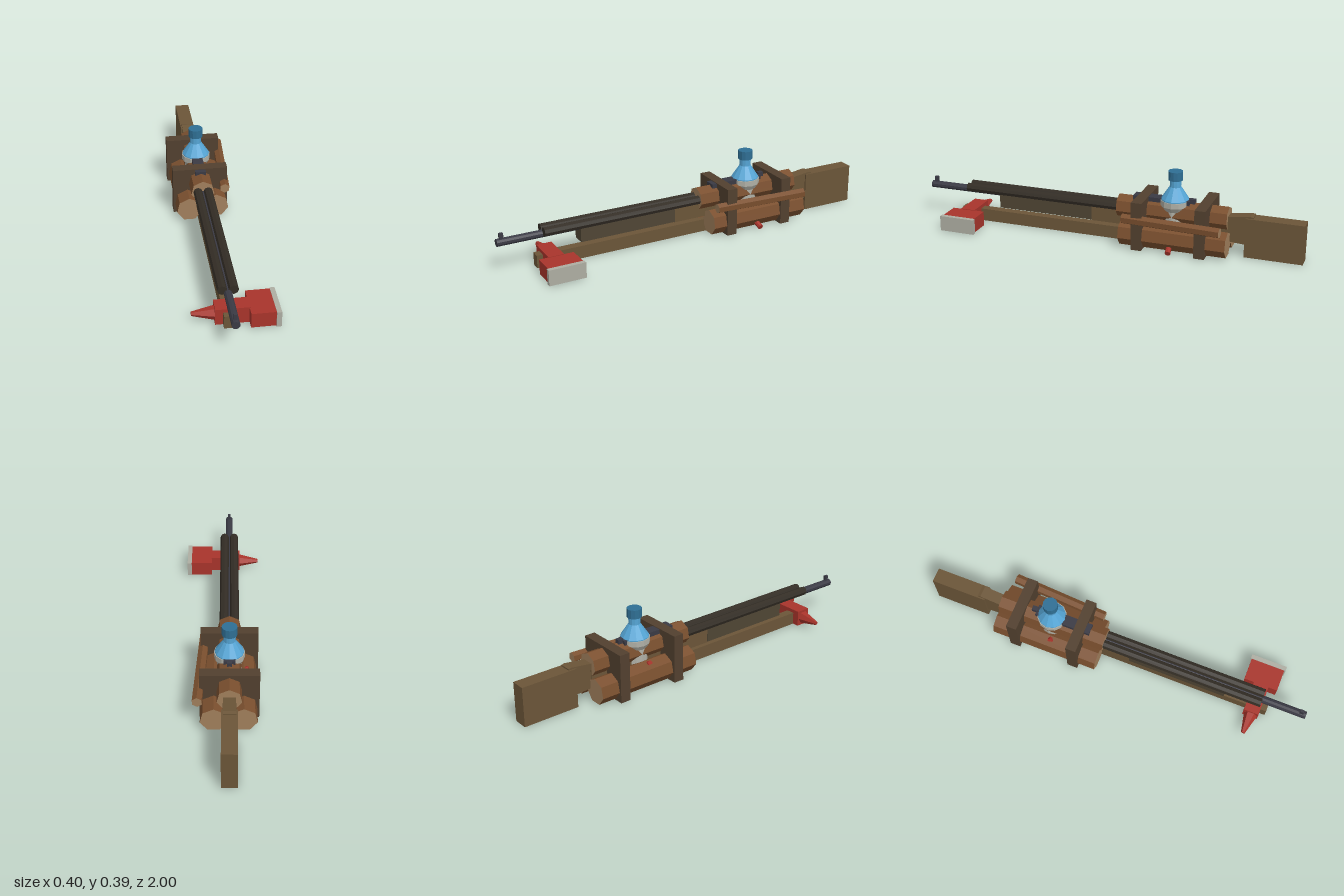
import * as THREE from 'three';

const mat = (color, side = THREE.FrontSide) =>
  new THREE.MeshStandardMaterial({ color, flatShading: true, side });

const M = {
  stock: mat(0x6b5538), fore: mat(0x4f4534), plate: mat(0x52402f),
  bark: mat(0x7a4f2e), cut: mat(0xa17f5c), steel: mat(0x3a3a44),
  tube: mat(0x332d25), red: mat(0xa8342b), grey: mat(0xadada2),
  blue: mat(0x55a5d5), cap: mat(0x2f6f94),
  cup: mat(0xb0b0a6, THREE.DoubleSide),
};
const AX = -0.037; // shared centre line of barrel, stock and bottle

export function createModel() {
  const root = new THREE.Group();
  root.name = 'improvisedRifle';

  const add = (name, geo, material) => {
    const mesh = new THREE.Mesh(geo, material);
    mesh.name = name;
    root.add(mesh);
    return mesh;
  };
  // box from its limits on each axis
  const box = (name, material, x0, x1, y0, y1, z0, z1) => {
    const m = add(name, new THREE.BoxGeometry(x1 - x0, y1 - y0, z1 - z0), material);
    m.position.set((x0 + x1) / 2, (y0 + y1) / 2, (z0 + z1) / 2);
    return m;
  };
  // straight rod between two points
  const rod = (name, material, a, b, r0, r1, sides) => {
    const p = new THREE.Vector3(...a), q = new THREE.Vector3(...b);
    const m = add(name, new THREE.CylinderGeometry(r1, r0, p.distanceTo(q), sides), material);
    m.position.copy(p).add(q).multiplyScalar(0.5);
    m.quaternion.setFromUnitVectors(new THREE.Vector3(0, 1, 0), q.sub(p).normalize());
    return m;
  };

  // Barrel, front sight and the two tubes beside it
  rod('barrel', M.steel, [AX, 0.163, 1], [AX, 0.163, -0.2], 0.019, 0.019, 10);
  box('frontSight', M.steel, AX - 0.007, AX + 0.007, 0.175, 0.208, 0.965, 0.985);
  for (const s of [-1, 1])
    rod('sideTube', M.tube, [AX + s * 0.026, 0.18, 0.775], [AX + s * 0.026, 0.18, -0.2], 0.023, 0.023, 8);

  // Stock: fore end, middle, neck and butt
  box('foreStock', M.fore, -0.071, -0.004, 0.09, 0.162, 0.08, 0.59);
  box('middleStock', M.stock, -0.07, -0.005, 0.087, 0.163, -0.63, 0.08);
  const neck = new THREE.Shape([
    [-0.55, 0.075], [-0.75, 0.06], [-0.75, 0.207], [-0.735, 0.21], [-0.55, 0.185],
  ].map(([z, y]) => new THREE.Vector2(-z, y)));
  const neckGeo = new THREE.ExtrudeGeometry(neck, { depth: 0.059, bevelEnabled: false });
  neckGeo.rotateY(Math.PI / 2);
  add('stockNeck', neckGeo, M.stock).position.x = -0.067;
  box('butt', M.stock, -0.074, 0, 0, 0.2, -1, -0.712);

  // Receiver rail and rear sight
  box('receiver', M.steel, -0.065, -0.01, 0.15, 0.247, -0.43, -0.14);
  box('rearSight', M.steel, AX - 0.012, AX + 0.012, 0.2, 0.255, -0.455, -0.425);

  // Split logs around the receiver
  const logMats = [M.bark, M.cut, M.cut];
  for (const [x, y, r, z0, z1] of [
    [AX, 0.178, 0.06, -0.06, -0.625],
    [-0.105, 0.068, 0.065, -0.075, -0.635],
    [0.036, 0.068, 0.065, -0.095, -0.638],
  ]) rod('log', logMats, [x, y, z0], [x, y, z1], r, r, 7);
  rod('sidePole', logMats, [0.084, 0.155, -0.115], [0.112, 0.155, -0.615], 0.026, 0.026, 6);

  // Clamping plates
  for (const z of [-0.193, -0.513])
    box('clampPlate', M.plate, -0.178, 0.103, 0.002, 0.25, z - 0.027, z + 0.027);

  // Bottle: glass cup, cone with neck, cap and visible base
  const lathe = (name, material, pts) => add(name,
    new THREE.LatheGeometry(pts.map(([r, y]) => new THREE.Vector2(r, y)), 12), material)
    .position.set(AX, 0, -0.35);
  lathe('bottleCup', M.cup, [[0.07, 0.003], [0.062, 0.02], [0.058, 0.19], [0.074, 0.215], [0.074, 0.243], [0.068, 0.243]]);
  lathe('bottleCone', M.blue, [[0, 0.235], [0.07, 0.235], [0.07, 0.248], [0.029, 0.31], [0.029, 0.346]]);
  lathe('bottleCap', M.cap, [[0, 0.345], [0.037, 0.345], [0.037, 0.39], [0, 0.39]]);
  lathe('bottleBase', M.cap, [[0, 0.002], [0.064, 0.002], [0.064, 0.012], [0, 0.012]]);

  // Red peg through the logs and a metal strip beneath
  rod('peg', M.red, [-0.13, 0.125, -0.33], [0.112, 0.012, -0.36], 0.014, 0.014, 8);
  box('bottomStrip', M.grey, -0.067, -0.007, 0.002, 0.014, -0.59, -0.54);

  // Hammer slung underneath
  box('hammerHandle', M.stock, -0.059, -0.014, 0, 0.065, -0.2, 0.815);
  box('hammerHead', M.red, -0.095, 0.065, 0.001, 0.083, 0.708, 0.785);
  box('hammerBlock', M.red, 0.06, 0.175, 0.005, 0.08, 0.657, 0.831);
  box('hammerFace', M.grey, 0.174, 0.197, 0.003, 0.082, 0.652, 0.838);
  rod('hammerSpike', M.red, [-0.094, 0.042, 0.747], [-0.199, 0.042, 0.743], 0.034, 0.01, 6);

  return root;
}
